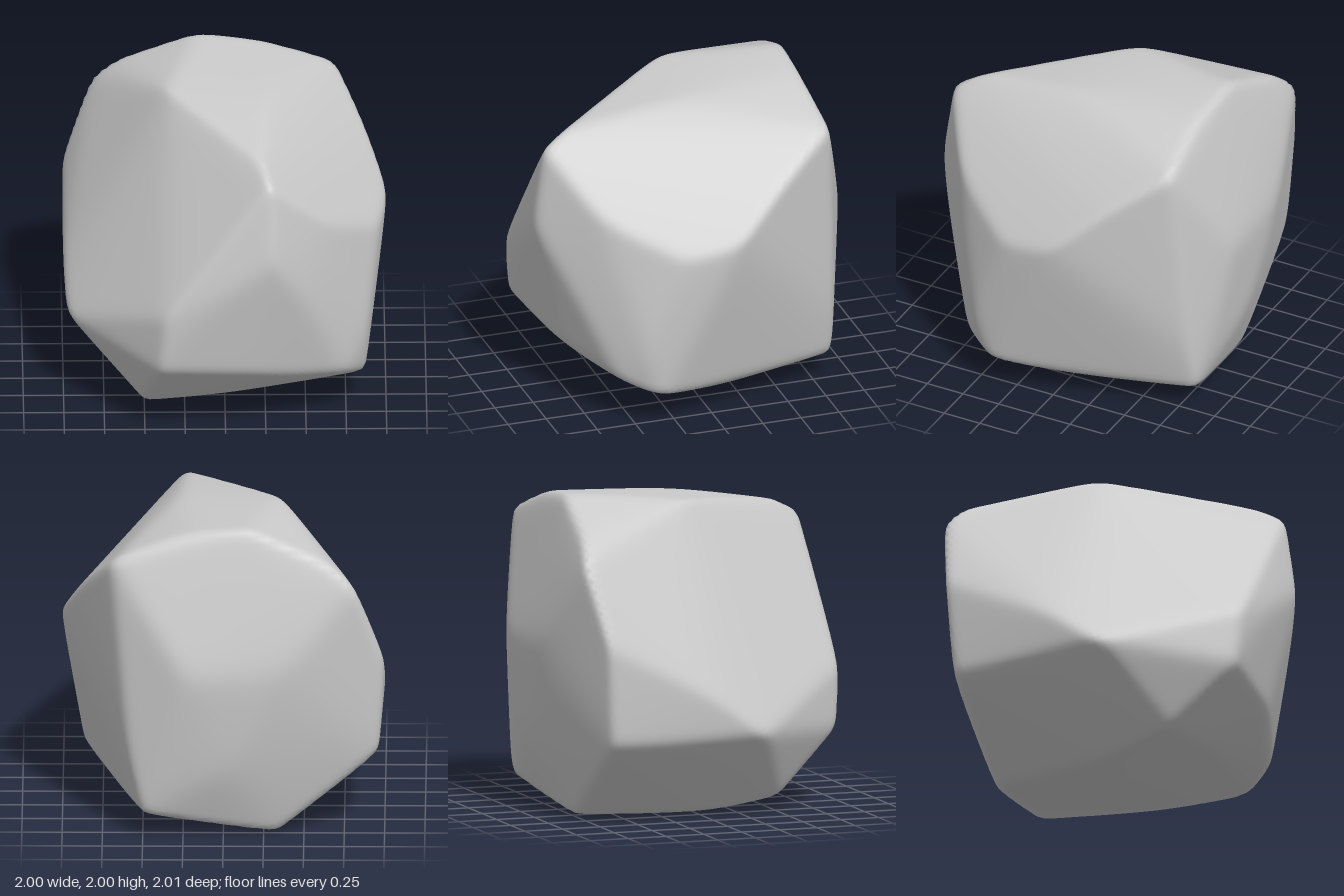
import * as THREE from 'three';
import { ConvexGeometry } from 'three/addons/geometries/ConvexGeometry.js';
import { mergeVertices } from 'three/addons/utils/BufferGeometryUtils.js';

// Main corners of the boulder
const corners = [
  // crown
  [-0.15, 1.99, -0.77], [0.22, 1.95, -0.73], [-0.36, 1.94, -0.02], [0.24, 1.93, 0.05],
  [0.68, 1.79, -0.78], [-0.82, 1.64, -0.87], [-0.66, 1.78, -0.82], [0.27, 1.74, 0.93], [0.23, 1.81, 0.8],
  // right flank
  [0.86, 1.53, -0.43], [1, 1.23, -0.1], [0.98, 1.08, 0.06], [0.95, 1.15, 0.22], [0.63, 1.38, 0.7],
  [0.87, 0.55, 0.48], [0.86, 0.22, 0.36], [0.58, 0.58, -0.84], [0.49, 0.17, -0.86],
  // front
  [0.3, 1.2, 1], [-0.05, 1.0, 1], [-0.37, 0.86, 0.96], [-0.4, 0.48, 0.94],
  [0.5, 0.9, 0.85], [0.2, 0.42, 0.85], [0.73, 0.32, 0.6],
  // left flank
  [-0.99, 1.15, -0.77], [-0.96, 0.53, -0.74], [-0.97, 0.55, 0.26], [-1, 0.78, -0.05],
  // back
  [0.23, 1.1, -1], [-0.37, 1.1, -0.98], [-0.05, 0.5, -0.95],
  // underside
  [-0.45, 0.01, 0.17], [-0.32, 0.01, -0.75], [-0.22, 0, -0.1], [-0.5, 0.09, 0.52],
  [-0.1, 0.13, 0.55], [0.62, 0.13, -0.15],
];

// Face planes of the convex hull, as outward normals divided by distance from the centre
function facePlanes(points) {
  const pos = new ConvexGeometry(points).getAttribute('position');
  const tri = new THREE.Triangle();
  const planes = [];
  for (let i = 0; i < pos.count; i += 3) {
    tri.setFromAttributeAndIndices(pos, i, i + 1, i + 2);
    if (tri.getArea() < 1e-5) continue;
    const n = tri.getNormal(new THREE.Vector3());
    planes.push(n.divideScalar(n.dot(tri.a)));
  }
  return planes;
}

export function createModel() {
  const planes = facePlanes(corners.map(([x, y, z]) => new THREE.Vector3(x, y - 1, z)));
  const sharpness = 75;
  const swell = 1.019; // makes up for the worn corners

  // Fine sphere pushed out to the planes, blended so that edges are worn round
  let geo = new THREE.IcosahedronGeometry(1, 40);
  geo.deleteAttribute('normal');
  geo.deleteAttribute('uv');
  geo = mergeVertices(geo, 1e-5);
  const pos = geo.getAttribute('position');
  const d = new THREE.Vector3();
  for (let i = 0; i < pos.count; i++) {
    d.fromBufferAttribute(pos, i).normalize();
    let sum = 0;
    for (const p of planes) sum += Math.max(0, p.dot(d)) ** sharpness;
    d.multiplyScalar(swell * sum ** (-1 / sharpness));
    pos.setXYZ(i, d.x, d.y, d.z);
  }

  // Centre it and stand it on the ground
  geo.center();
  geo.translate(0, -geo.boundingBox.min.y, 0);
  geo.computeVertexNormals();

  const boulder = new THREE.Mesh(geo, new THREE.MeshStandardMaterial({ color: 0xcccccc }));
  boulder.name = 'boulder';
  const group = new THREE.Group();
  group.name = 'rock';
  group.add(boulder);
  return group;
}
